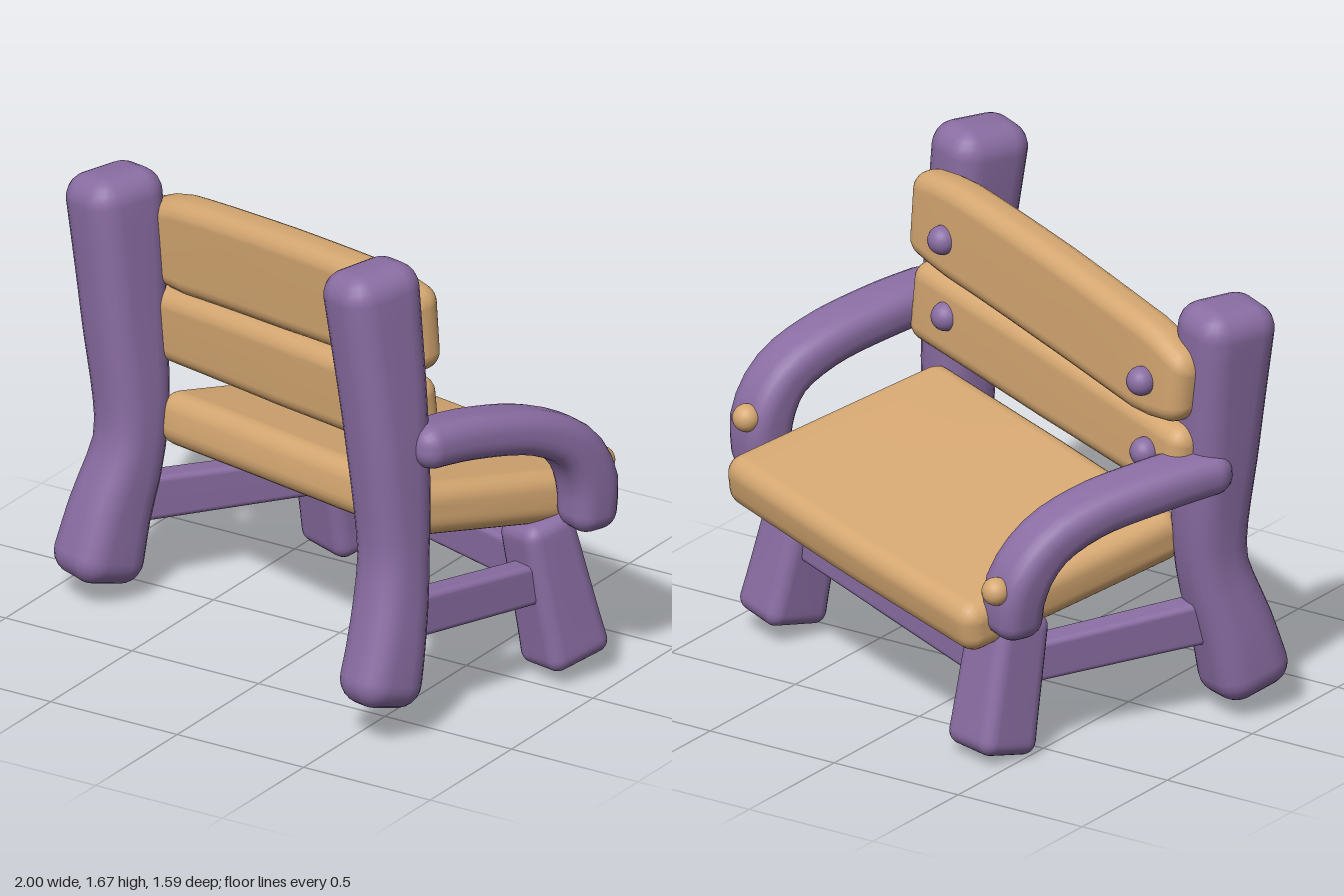
import * as THREE from 'three';

const V = (p) => new THREE.Vector3(...p);
const ACROSS = V([0.935, 0.085, 0.345]); // direction along the bench
const UP = V([-0.06, 0.99, 0.02]);
const DEPTH = V([0.41, -0.165, -0.89]); // from backrest to seat edge

// Rounded beam swept along a path. Each station is [x, y, z, halfSide, halfOther];
// "side" fixes the direction of the first half-size, r is the edge rounding.
function beamGeometry(stations, side, r, mids = 16) {
  const curve = new THREE.CatmullRomCurve3(stations.map((s) => V(s.slice(0, 3))));
  const length = curve.getLength();
  const capSteps = 6, cornerSteps = 5, rings = [];
  for (let i = 0; i <= capSteps; i++) {
    const a = (i / capSteps) * Math.PI / 2;
    rings.push([r * (1 - Math.cos(a)) / length, r * Math.sin(a)]);
  }
  const cap = rings.slice().reverse();
  const u0 = r / length;
  for (let i = 1; i < mids; i++) rings.push([u0 + (1 - 2 * u0) * i / mids, r]);
  cap.forEach(([u, rad]) => rings.push([1 - u, rad]));

  const pos = [], index = [], n = 4 * (cornerSteps + 1);
  for (const [u, rad] of rings) {
    const t = curve.getUtoTmapping(u);
    const c = curve.getPoint(t), tan = curve.getTangent(t);
    const f = t * (stations.length - 1);
    const k = Math.min(Math.floor(f), stations.length - 2);
    const half = (j) => THREE.MathUtils.lerp(stations[k][j], stations[k + 1][j], f - k);
    const s = side.clone().addScaledVector(tan, -side.dot(tan)).normalize();
    const o = tan.clone().cross(s);
    for (let q = 0; q < 4; q++) {
      const sx = q === 0 || q === 3 ? 1 : -1, sy = q < 2 ? 1 : -1;
      for (let j = 0; j <= cornerSteps; j++) {
        const a = (q + j / cornerSteps) * Math.PI / 2;
        const p = c.clone()
          .addScaledVector(s, sx * Math.max(half(3) - r, 0.002) + rad * Math.cos(a))
          .addScaledVector(o, sy * Math.max(half(4) - r, 0.002) + rad * Math.sin(a));
        pos.push(p.x, p.y, p.z);
      }
    }
  }
  for (let i = 0; i < rings.length - 1; i++) {
    for (let j = 0; j < n; j++) {
      const a = i * n + j, b = i * n + (j + 1) % n;
      index.push(a, b, b + n, a, b + n, a + n);
    }
  }
  // flat ends
  const last = (rings.length - 1) * n, first = pos.length / 3;
  pos.push(...curve.getPoint(0).toArray(), ...curve.getPoint(1).toArray());
  for (let j = 0; j < n; j++) {
    const k = (j + 1) % n;
    index.push(first, k, j, first + 1, last + j, last + k);
  }
  const g = new THREE.BufferGeometry();
  g.setAttribute('position', new THREE.Float32BufferAttribute(pos, 3));
  g.setIndex(index);
  g.computeVertexNormals();
  return g;
}

export function createModel() {
  const purple = new THREE.MeshStandardMaterial({ color: 0x8a6da3 });
  purple.name = 'purple paint';
  const wood = new THREE.MeshStandardMaterial({ color: 0xd5a771 });
  wood.name = 'tan wood';
  const bench = new THREE.Group();
  bench.name = 'bench';

  const add = (name, geometry, material) => {
    const m = new THREE.Mesh(geometry, material);
    m.name = name;
    bench.add(m);
    return m;
  };
  const beam = (name, material, side, r, stations) =>
    add(name, beamGeometry(stations, side, r), material);
  const knob = (name, material, r, p) =>
    add(name, new THREE.SphereGeometry(r, 20, 14), material).position.set(...p);

  // Back posts: flared foot, narrow waist, broad leaning top
  beam('rightBackPost', purple, ACROSS, 0.09, [
    [-0.845, 0.075, 0.2, 0.13, 0.145], [-0.82, 0.3, 0.145, 0.122, 0.13],
    [-0.78, 0.57, 0.075, 0.112, 0.112], [-0.815, 1.0, 0.06, 0.12, 0.135],
    [-0.865, 1.5, 0.055, 0.128, 0.155]]);
  beam('leftBackPost', purple, ACROSS, 0.09, [
    [0.583, 0.13, 0.68, 0.115, 0.135], [0.585, 0.35, 0.62, 0.115, 0.122],
    [0.575, 0.63, 0.565, 0.112, 0.11], [0.55, 1.05, 0.565, 0.12, 0.13],
    [0.487, 1.665, 0.58, 0.122, 0.158]]);

  // Front legs
  beam('rightFrontLeg', purple, ACROSS, 0.05, [
    [-0.38, 0.02, -0.635, 0.125, 0.118], [-0.395, 0.5, -0.54, 0.11, 0.105]]);
  beam('leftFrontLeg', purple, ACROSS, 0.05, [
    [0.807, 0.06, -0.14, 0.115, 0.13], [0.725, 0.58, -0.07, 0.1, 0.1]]);

  // Curved arms
  beam('rightArm', purple, ACROSS, 0.065, [
    [-0.86, 0.93, 0.04, 0.1, 0.075], [-0.74, 0.9, -0.2, 0.1, 0.078],
    [-0.62, 0.85, -0.42, 0.1, 0.078], [-0.545, 0.77, -0.57, 0.1, 0.082],
    [-0.5, 0.64, -0.655, 0.1, 0.09], [-0.48, 0.46, -0.655, 0.09, 0.085]]);
  beam('leftArm', purple, ACROSS, 0.065, [
    [0.645, 1.04, 0.57, 0.1, 0.075], [0.72, 1.02, 0.33, 0.1, 0.078],
    [0.81, 0.965, 0.09, 0.1, 0.078], [0.87, 0.88, -0.05, 0.1, 0.082],
    [0.898, 0.75, -0.115, 0.1, 0.09], [0.9, 0.56, -0.115, 0.09, 0.085]]);

  // Stretchers between the legs
  beam('rightStretcher', purple, UP, 0.02, [
    [-0.78, 0.345, 0.1, 0.08, 0.05], [-0.39, 0.3, -0.56, 0.07, 0.05]]);
  beam('leftStretcher', purple, UP, 0.02, [
    [0.6, 0.41, 0.55, 0.076, 0.05], [0.765, 0.355, -0.1, 0.07, 0.05]]);
  beam('frontStretcher', purple, UP, 0.02, [
    [-0.39, 0.3, -0.575, 0.07, 0.05], [0.77, 0.375, -0.1, 0.075, 0.05]]);

  // Seat board
  beam('seat', wood, DEPTH, 0.065, [
    [-0.56, 0.56, -0.385, 0.455, 0.092], [0.085, 0.618, -0.165, 0.462, 0.092],
    [0.745, 0.675, 0.07, 0.455, 0.092]]);

  // Back slats: the upper one has a gently crowned edge
  beam('upperSlat', wood, UP, 0.06, [
    [-0.825, 1.22, -0.095, 0.12, 0.068], [-0.64, 1.252, -0.04, 0.17, 0.075],
    [-0.1, 1.325, 0.155, 0.175, 0.075], [0.42, 1.38, 0.34, 0.172, 0.075],
    [0.615, 1.39, 0.405, 0.145, 0.068]]);
  beam('lowerSlat', wood, UP, 0.06, [
    [-0.81, 0.945, -0.085, 0.132, 0.07], [-0.1, 1.015, 0.165, 0.142, 0.075],
    [0.615, 1.075, 0.415, 0.142, 0.07]]);

  // Pegs
  knob('upperSlatPegRight', purple, 0.05, [-0.64, 1.23, -0.13]);
  knob('upperSlatPegLeft', purple, 0.05, [0.43, 1.36, 0.26]);
  knob('lowerSlatPegRight', purple, 0.05, [-0.64, 0.97, -0.11]);
  knob('lowerSlatPegLeft', purple, 0.05, [0.43, 1.08, 0.28]);
  knob('armPegRight', wood, 0.048, [-0.48, 0.645, -0.75]);
  knob('armPegLeft', wood, 0.048, [0.9, 0.77, -0.205]);

  return bench;
}
